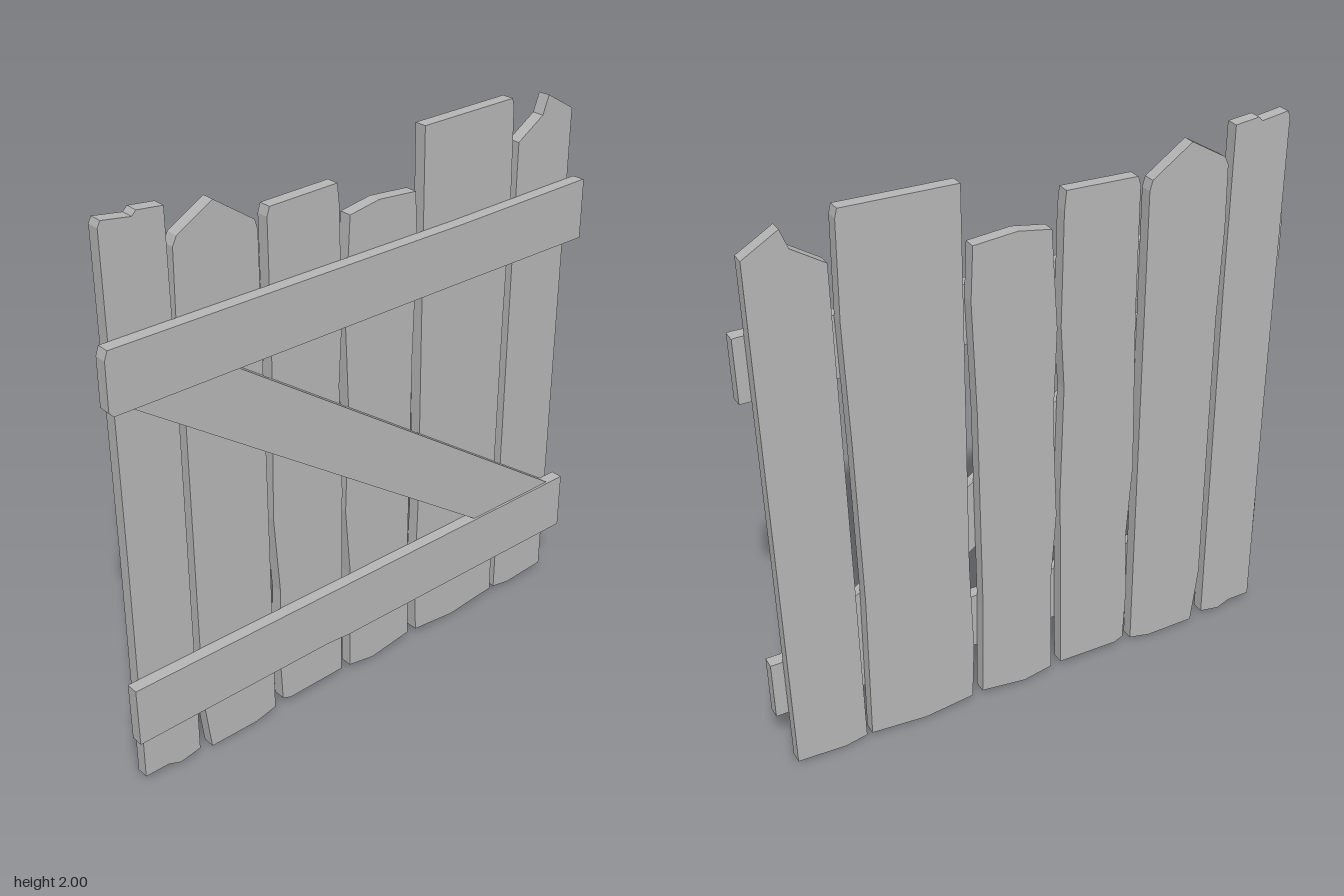
import * as THREE from 'three';

const THICK = 0.045;

// Rough-cut board outlines (x, y), clockwise from the top left
const PLANKS = [
  [[-0.94, 1.98], [-0.93, 2], [-0.83, 1.985], [-0.815, 2], [-0.725, 1.99], [-0.722, 1.4], [-0.73, 0.02],
    [-0.81, 0.005], [-0.86, 0.025], [-0.95, 0.025], [-0.943, 0.9]],
  [[-0.705, 1.86], [-0.69, 1.89], [-0.56, 1.965], [-0.415, 1.865], [-0.405, 1.83], [-0.405, 0.02],
    [-0.49, 0], [-0.68, 0], [-0.705, 0.22], [-0.7, 1.3], [-0.71, 1.64]],
  [[-0.37, 1.86], [-0.36, 1.89], [-0.1, 1.897], [-0.093, 1.83], [-0.086, 1.43], [-0.1, 1.2], [-0.09, 0.8],
    [-0.1, 0.03], [-0.335, 0.025], [-0.37, 0.04], [-0.378, 0.25], [-0.366, 0.5], [-0.385, 0.8], [-0.37, 1.4]],
  [[-0.05, 1.78], [0.07, 1.8], [0.225, 1.787], [0.235, 1.6], [0.222, 1.2], [0.216, 0.4], [0.225, 0.03],
    [0.05, 0.005], [-0.06, 0.025], [-0.056, 0.43], [-0.076, 0.7], [-0.06, 1.1], [-0.072, 1.43], [-0.055, 1.7]],
  [[0.26, 1.995], [0.65, 2], [0.658, 1.97], [0.665, 1.64], [0.656, 1.2], [0.65, 0.6], [0.66, 0.025],
    [0.45, 0.005], [0.265, 0.025], [0.255, 0.25], [0.265, 0.6], [0.262, 1.4]],
  [[0.69, 1.84], [0.8, 1.91], [0.825, 1.975], [0.945, 1.905], [0.937, 0.02], [0.76, 0.01], [0.68, 0.025],
    [0.685, 1]],
];
const TOP_RAIL = [[-0.983, 1.61], [-0.972, 1.64], [0.4, 1.642], [0.97, 1.652], [0.982, 1.65], [0.982, 1.432],
  [0.4, 1.432], [-0.97, 1.428], [-0.985, 1.445]];
const BOTTOM_RAIL = [[-0.985, 0.434], [0.982, 0.43], [0.982, 0.21], [-0.1, 0.212], [-0.2, 0.22], [-0.985, 0.215]];
const BRACE = [[-0.91, 1.432], [-0.53, 1.432], [0.91, 0.43], [0.52, 0.43]];

export function createModel() {
  const gate = new THREE.Group();
  gate.name = 'woodenGate';
  const wood = new THREE.MeshStandardMaterial({ color: 0xb4b4b4 });
  wood.name = 'greyWood';

  // Extrude an outline into a flat board
  function board(name, outline, z, depth) {
    const shape = new THREE.Shape(outline.map(([x, y]) => new THREE.Vector2(x, y)));
    const geometry = new THREE.ExtrudeGeometry(shape, { depth, bevelEnabled: false });
    const mesh = new THREE.Mesh(geometry, wood);
    mesh.name = name;
    mesh.position.z = z;
    gate.add(mesh);
  }

  // Upright planks behind, rails and diagonal brace in front
  PLANKS.forEach((outline, i) => board(`plank${i + 1}`, outline, -THICK, THICK));
  board('topRail', TOP_RAIL, 0, THICK);
  board('bottomRail', BOTTOM_RAIL, 0, THICK);
  board('diagonalBrace', BRACE, 0, 0.036);
  return gate;
}
